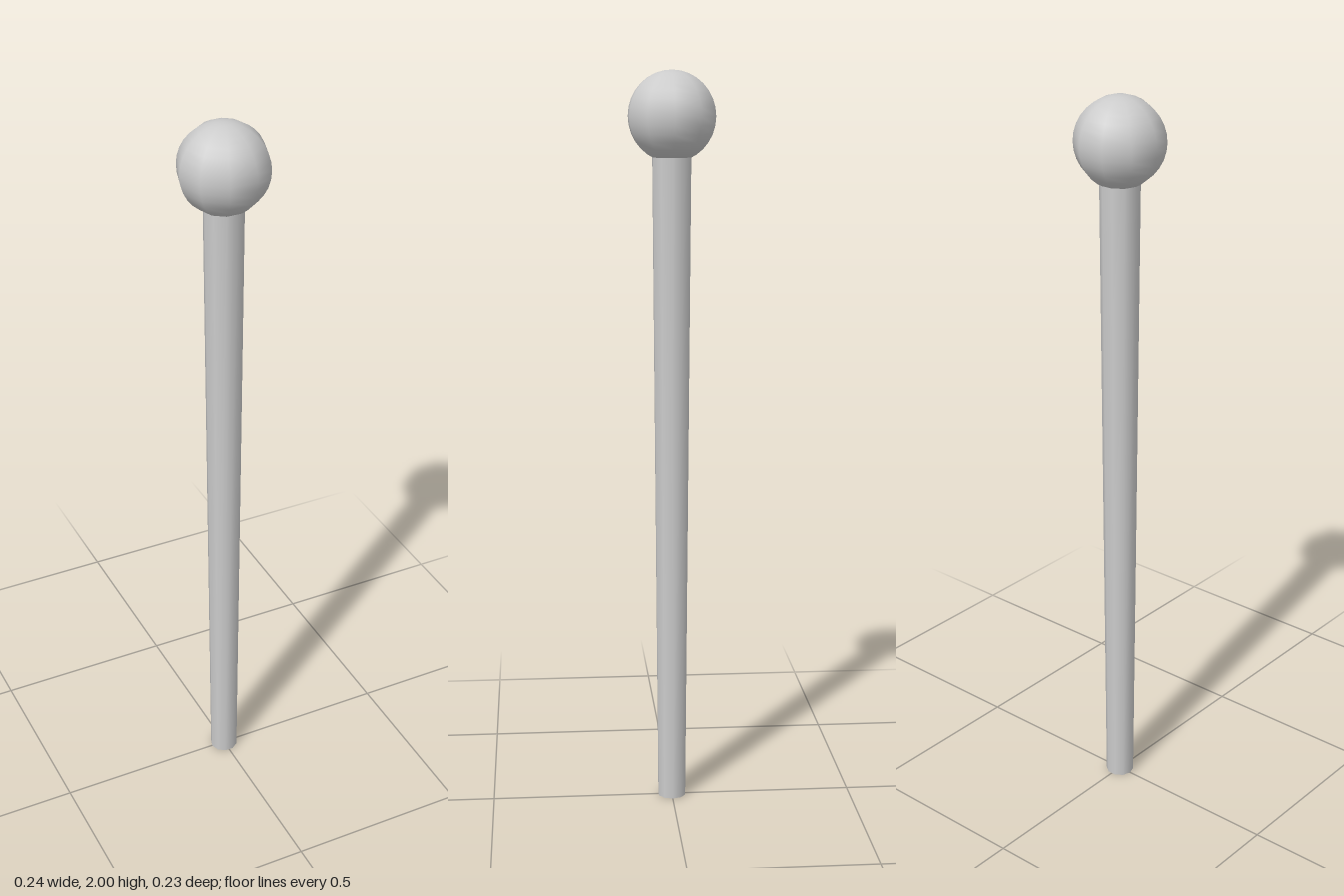
import * as THREE from 'three';

const SIDES = 10;

export function createModel() {
  const group = new THREE.Group();
  const material = new THREE.MeshStandardMaterial({ color: 0xcccccc });

  const add = (name, geometry, y) => {
    const mesh = new THREE.Mesh(geometry, material);
    mesh.name = name;
    mesh.position.y = y;
    group.add(mesh);
  };

  // Tapered shaft, its top sunk into the knob; turned so a corner lies on the x axis
  const shaftHeight = 1.79;
  const shaft = new THREE.CylinderGeometry(0.053, 0.039, shaftHeight, SIDES);
  shaft.rotateY(Math.PI / 2);
  add('shaft', shaft, shaftHeight / 2);

  // Ten-sided round knob
  const knobRadius = 0.119;
  add('knob', new THREE.SphereGeometry(knobRadius, SIDES, 16), 2 - knobRadius);

  return group;
}
